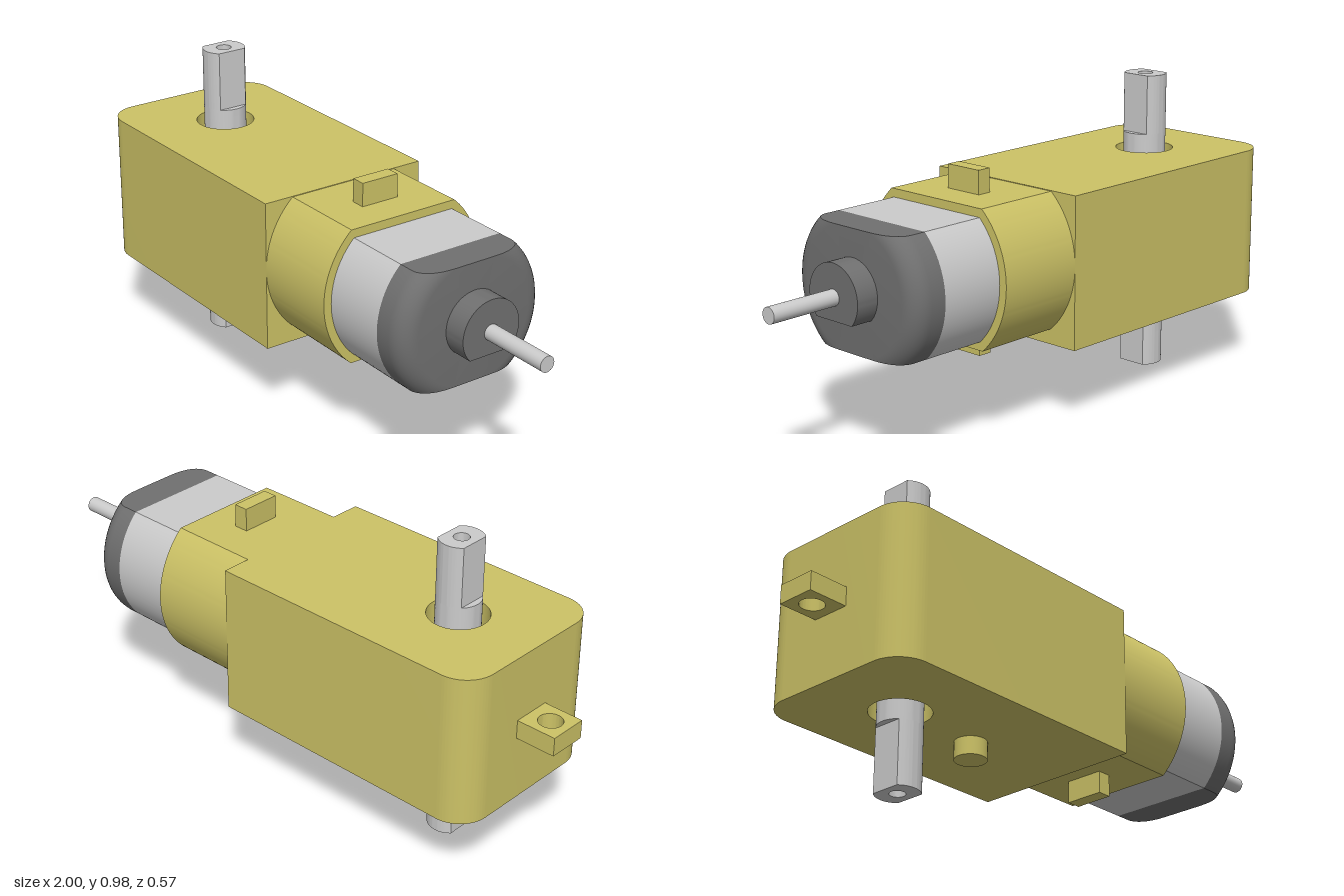
import * as THREE from 'three';
import { toCreasedNormals } from 'three/addons/utils/BufferGeometryUtils.js';

const material = (color) => new THREE.MeshStandardMaterial({ color });
const yellow = material(0xccc266), grey = material(0xcccccc), dark = material(0x707070);
const AXIS_Y = 0.513, AXLE_X = -0.592, MID_Y = 0.49;

// Circle of radius r with its top and bottom cut flat at +-h
function flattenedCircle(r, h) {
  const a = Math.asin(Math.min(1, h / r));
  const s = new THREE.Shape();
  s.absarc(0, 0, r, -a, a, false);
  s.absarc(0, 0, r, Math.PI - a, Math.PI + a, false);
  s.closePath();
  return s;
}

function circleHole(x, y, r) {
  return new THREE.Path().absarc(x, y, r, 0, Math.PI * 2, true);
}

function extrude(shape, depth) {
  const g = new THREE.ExtrudeGeometry(shape, { depth, bevelEnabled: false, curveSegments: 24 });
  return toCreasedNormals(g, 0.5);
}

// Extrusion standing up from y0 to y1 / lying along x from x0 to x1
const upright = (shape, y0, y1) => extrude(shape, y1 - y0).rotateX(-Math.PI / 2).translate(0, y0, 0);
const alongX = (shape, x0, x1) => extrude(shape, x1 - x0).rotateY(Math.PI / 2).translate(x0, AXIS_Y, 0);

// Skin over flattened circles; stations are [x, radius]
function flattenedLoft(stations, h) {
  const n = 28, pos = [], idx = [], count = 2 * (n + 1);
  for (const [x, r] of stations) {
    const a = Math.asin(Math.min(1, h / r));
    for (const base of [0, Math.PI]) {
      for (let i = 0; i <= n; i++) {
        const t = base - a + (2 * a * i) / n;
        pos.push(x, AXIS_Y + r * Math.sin(t), r * Math.cos(t));
      }
    }
  }
  const last = (stations.length - 1) * count, c0 = pos.length / 3;
  pos.push(stations[0][0], AXIS_Y, 0, stations[stations.length - 1][0], AXIS_Y, 0);
  for (let i = 0; i < count; i++) {
    const j = (i + 1) % count;
    for (let s = 0; s < last; s += count) {
      const t = s + count;
      idx.push(s + i, t + i, t + j, s + i, t + j, s + j);
    }
    idx.push(c0, i, j, c0 + 1, last + j, last + i);
  }
  const g = new THREE.BufferGeometry();
  g.setAttribute('position', new THREE.Float32BufferAttribute(pos, 3));
  g.setIndex(idx);
  return toCreasedNormals(g, 0.5);
}

export function createModel() {
  const model = new THREE.Group();
  const add = (name, geometry, mat, x = 0, y = 0, z = 0) => {
    const mesh = new THREE.Mesh(geometry, mat);
    mesh.name = name;
    mesh.position.set(x, y, z);
    model.add(mesh);
    return mesh;
  };

  // Gearbox housing, rounded at the far end, bored for the axle
  const x0 = -0.87, x1 = 0.065, w = 0.286, r = 0.1;
  const body = new THREE.Shape();
  body.moveTo(x1, -w);
  body.lineTo(x1, w);
  body.lineTo(x0 + r, w);
  body.absarc(x0 + r, w - r, r, Math.PI / 2, Math.PI, false);
  body.lineTo(x0, -w + r);
  body.absarc(x0 + r, -w + r, r, Math.PI, Math.PI * 1.5, false);
  body.closePath();
  body.holes.push(circleHole(AXLE_X, 0, 0.093));
  add('gearboxHousing', upright(body, 0.25, 0.73), yellow);

  // Collar gripping the motor, with a clip tab above and below
  add('motorCollar', alongX(flattenedCircle(0.286, 0.215), 0.065, 0.36), yellow);
  for (const [name, y] of [['upperClipTab', 0.76], ['lowerClipTab', 0.27]]) {
    add(name, new THREE.BoxGeometry(0.047, 0.085, 0.128), yellow, 0.222, y);
  }

  // Mounting ear and locating peg
  const ear = new THREE.Shape();
  ear.moveTo(-1, -0.063);
  ear.lineTo(-0.87, -0.063);
  ear.lineTo(-0.87, 0.063);
  ear.lineTo(-1, 0.063);
  ear.closePath();
  ear.holes.push(circleHole(-0.938, 0, 0.037));
  add('mountingEar', upright(ear, 0.46, 0.52), yellow);
  add('locatingPeg', new THREE.CylinderGeometry(0.05, 0.05, 0.065, 32), yellow, -0.305, 0.2255);

  // Double-ended axle: round core, flat-sided ends, bored through
  const core = new THREE.Shape().absarc(0, 0, 0.068, 0, Math.PI * 2, false);
  const end = flattenedCircle(0.068, 0.048);
  for (const s of [core, end]) s.holes.push(circleHole(0, 0, 0.024));
  add('axleCore', upright(core, 0.2, 0.785), grey, AXLE_X);
  for (const [name, a, b] of [['upperAxleEnd', 0.785, 0.976], ['lowerAxleEnd', 0, 0.2]]) {
    add(name, upright(end, a, b).rotateY(Math.PI / 2), grey, AXLE_X);
  }

  // Motor can and its end cap with rounded shoulders
  add('motorCan', flattenedLoft([[0.36, 0.26], [0.578, 0.26]], 0.188), grey);
  const cap = [[0.578, 0.26]], fillet = 0.06;
  for (let i = 0; i <= 8; i++) {
    const t = (i / 8) * Math.PI / 2;
    cap.push([0.69 - fillet + fillet * Math.sin(t), 0.26 - fillet + fillet * Math.cos(t)]);
  }
  add('motorEndCap', flattenedLoft(cap, 0.188), dark);

  // Bearing boss with a flat underside, and the motor shaft
  const boss = new THREE.Shape();
  const cut = Math.asin(0.07 / 0.102);
  boss.absarc(0, 0, 0.102, -cut, Math.PI + cut, false);
  boss.closePath();
  add('bearingBoss', alongX(boss, 0.69, 0.765), dark);
  add('motorShaft', new THREE.CylinderGeometry(0.025, 0.025, 0.235, 32).rotateZ(Math.PI / 2), grey, 0.8825, AXIS_Y);

  return model;
}
